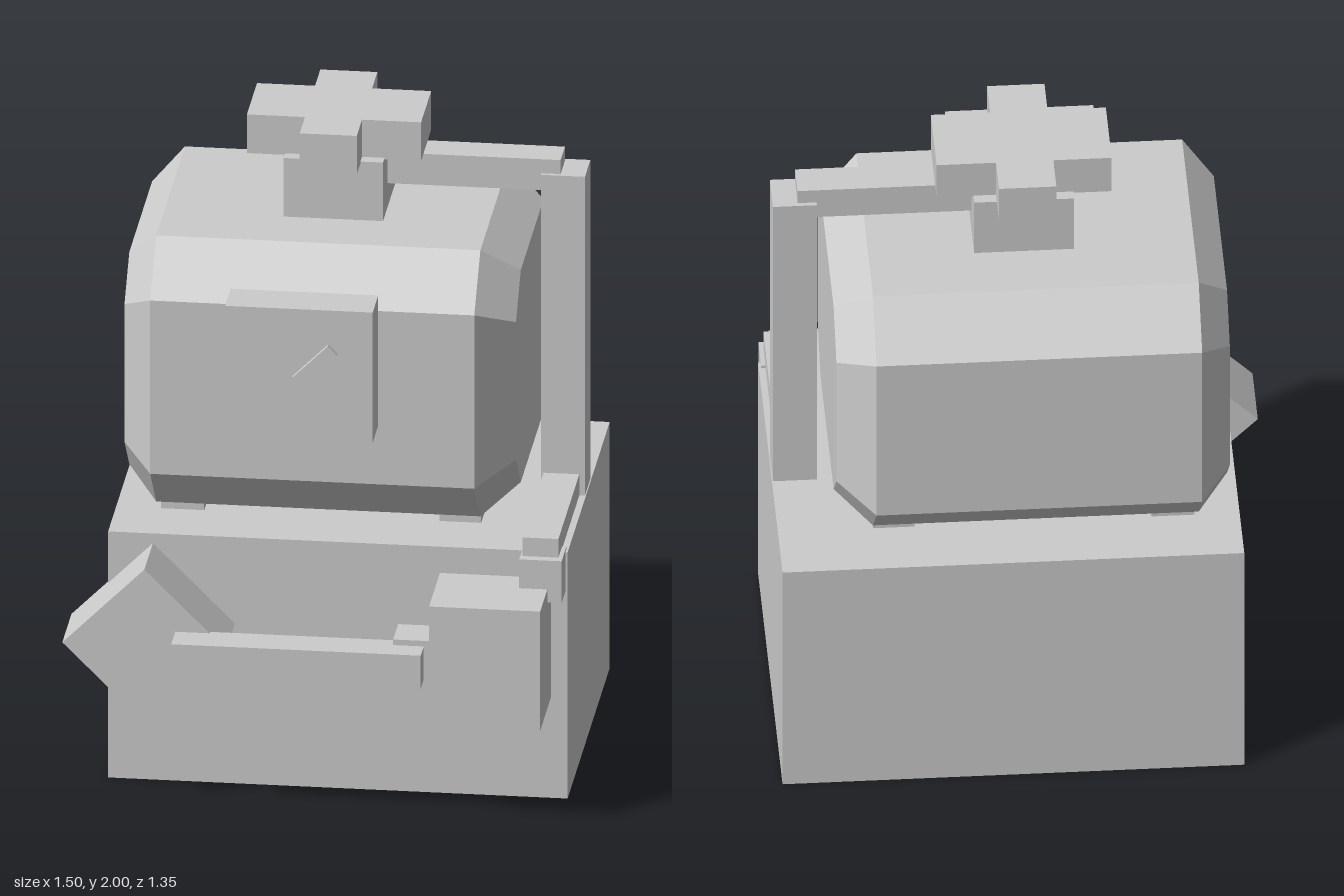
import * as THREE from 'three';
import { ConvexGeometry } from 'three/addons/geometries/ConvexGeometry.js';

export function createModel() {
  const model = new THREE.Group();
  model.name = 'boilerMachine';
  const grey = new THREE.MeshStandardMaterial({ color: 0xcccccc });
  grey.name = 'plain grey';

  function add(name, geometry, parent = model) {
    const mesh = new THREE.Mesh(geometry, grey);
    mesh.name = name;
    parent.add(mesh);
    return mesh;
  }
  // Box given by its extents on each axis
  function box(name, [x0, x1], [y0, y1], [z0, z1], parent) {
    const mesh = add(name, new THREE.BoxGeometry(x1 - x0, y1 - y0, z1 - z0), parent);
    mesh.position.set((x0 + x1) / 2, (y0 + y1) / 2, (z0 + z1) / 2);
    return mesh;
  }
  // Box turned 45 degrees about z
  function tiltedBox(name, x, y, w, h, [z0, z1]) {
    const mesh = box(name, [x - w / 2, x + w / 2], [y - h / 2, y + h / 2], [z0, z1]);
    mesh.rotation.z = Math.PI / 4;
    return mesh;
  }

  box('base', [-0.64, 0.745], [0, 0.795], [-0.675, 0.367]);

  // Tank: octagonal sections with smaller octagons at both ends
  const points = [];
  const sections = [
    [-0.605, 0.4025, 0.3425, 0.12],
    [-0.515, 0.505, 0.43, 0.15],
    [0.462, 0.505, 0.43, 0.15],
    [0.575, 0.4025, 0.3425, 0.12],
  ];
  for (const [x, halfZ, halfY, cut] of sections) {
    for (const sy of [-1, 1]) {
      for (const sz of [-1, 1]) {
        points.push(new THREE.Vector3(x, sy * halfY, sz * (halfZ - cut)));
        points.push(new THREE.Vector3(x, sy * (halfY - cut), sz * halfZ));
      }
    }
  }
  add('tank', new ConvexGeometry(points)).position.set(0, 1.261, -0.153);

  // Feet under the tank
  for (const [name, x] of [['rightFoot', [-0.505, -0.375]], ['leftFoot', [0.335, 0.46]]]) {
    box(name, x, [0.78, 0.85], [-0.475, 0.165]);
  }

  // Neck and cross-shaped valve handle
  box('neck', [-0.155, 0.145], [1.67, 1.88], [-0.315, 0.008]);
  const c = [[-0.27, -0.03], [-0.095, -0.03], [-0.095, 0.1], [0.077, 0.1], [0.077, -0.03], [0.255, -0.03],
    [0.255, -0.28], [0.077, -0.28], [0.077, -0.41], [-0.095, -0.41], [-0.095, -0.28], [-0.27, -0.28]];
  const cross = new THREE.Shape(c.map(([x, z]) => new THREE.Vector2(x, -z)));
  const handle = add('valveHandle', new THREE.ExtrudeGeometry(cross, { depth: 0.125, bevelEnabled: false }));
  handle.rotation.x = -Math.PI / 2;
  handle.position.y = 1.875;

  // Gauge on the front of the tank
  box('gaugeMount', [-0.215, 0.125], [1.21, 1.53], [0.33, 0.38]);
  box('gauge', [-0.27, 0.175], [1.18, 1.6], [0.373, 0.51]);
  tiltedBox('gaugeNeedle', 0.003, 1.423, 0.15, 0.042, [0.5, 0.527]);

  // Pipe from the neck down to the front
  const pipe = new THREE.Group();
  pipe.name = 'sidePipe';
  model.add(pipe);
  box('topPipe', [0.13, 0.667], [1.77, 1.87], [-0.208, -0.1], pipe);
  box('uprightPipe', [0.61, 0.742], [0.78, 1.825], [-0.222, -0.087], pipe);
  box('lowerPipe', [0.617, 0.725], [0.765, 0.863], [-0.12, 0.43], pipe);
  box('dropPipe', [0.61, 0.738], [0.668, 0.803], [0.34, 0.458], pipe);

  // Front pump with its cross pipe and turned block
  box('pump', [0.36, 0.695], [0.325, 0.71], [0.35, 0.635]);
  box('pumpOutlet', [0.248, 0.37], [0.445, 0.585], [0.48, 0.603]);
  box('frontPipe', [-0.412, 0.34], [0.46, 0.567], [0.565, 0.677]);
  tiltedBox('turnedBlock', -0.505, 0.516, 0.35, 0.35, [0.35, 0.577]);

  return model;
}
